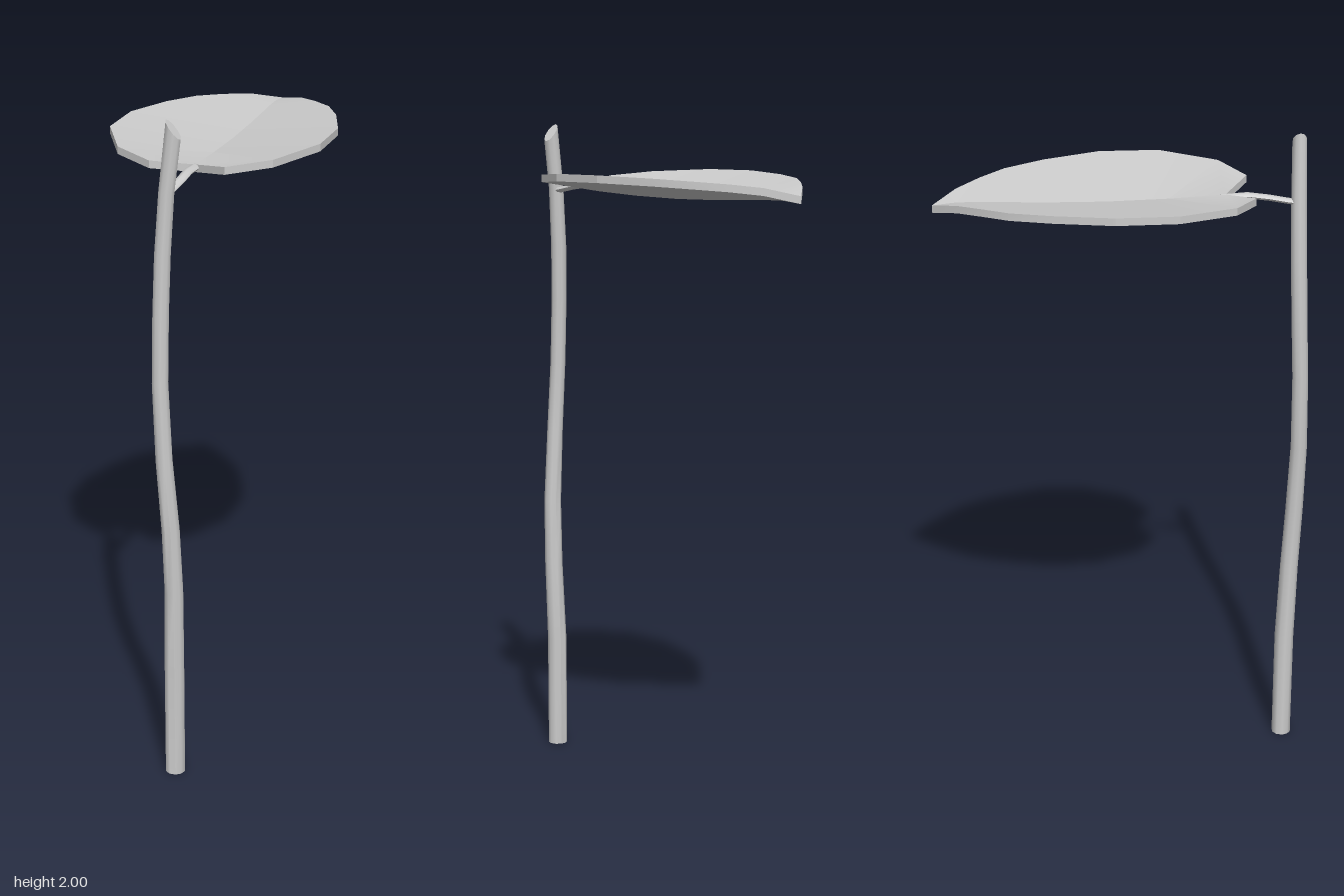
import * as THREE from 'three';
import { toCreasedNormals } from 'three/addons/utils/BufferGeometryUtils.js';

const material = new THREE.MeshStandardMaterial({ color: 0xcccccc });

function buildMesh(name, positions, index, crease) {
  const geo = new THREE.BufferGeometry();
  geo.setAttribute('position', new THREE.Float32BufferAttribute(positions, 3));
  geo.setIndex(index);
  const mesh = new THREE.Mesh(toCreasedNormals(geo, crease), material);
  mesh.name = name;
  return mesh;
}

// Closed tube through rings of points; each ring runs the same way round
function loft(name, rings) {
  const n = rings[0].length, index = [];
  const positions = rings.flat(2);
  for (let r = 0; r < rings.length - 1; r++) {
    for (let i = 0; i < n; i++) {
      const a = r * n + i, b = r * n + (i + 1) % n;
      index.push(a, a + n, b, b, a + n, b + n);
    }
  }
  const last = (rings.length - 1) * n;
  for (let i = 1; i < n - 1; i++) {
    index.push(0, i, i + 1, last, last + i + 1, last + i);
  }
  return buildMesh(name, positions, index, 0.8);
}

const angles = (n) => Array.from({ length: n }, (_, i) => (i / n) * Math.PI * 2);

// Gently wavering stem, tapering to a slanted cut
function createStem() {
  const sections = [ // x, y, z, radius
    [0, 0, 0.51, 0.03], [0, 0.35, 0.51, 0.03], [0.004, 0.6, 0.519, 0.028],
    [-0.001, 0.8, 0.528, 0.027], [-0.017, 1.02, 0.533, 0.025],
    [-0.028, 1.25, 0.528, 0.024], [-0.027, 1.45, 0.519, 0.024],
    [-0.022, 1.62, 0.513, 0.024], [-0.01, 1.8, 0.509, 0.023],
    [0.011, 1.974, 0.508, 0.021],
  ];
  return loft('stem', sections.map(([x, y, z, r], k) => {
    const slant = k === sections.length - 1 ? -1.25 : 0;
    return angles(10).map((a) => {
      const dx = Math.cos(a) * r;
      return [x + dx, y + dx * slant, z + Math.sin(a) * r];
    });
  }));
}

// Thin stalk joining the stem to the notch of the leaf
function createLeafStalk() {
  const sections = [ // x, y, z
    [-0.01, 1.795, 0.51], [-0.007, 1.798, 0.48], [-0.001, 1.808, 0.42],
    [0, 1.816, 0.36], [0, 1.812, 0.28],
  ];
  return loft('leafStalk', sections.map(([x, y, z]) =>
    angles(8).map((a) => [x + Math.cos(a) * 0.015, y + Math.sin(a) * 0.009, z])));
}

// Heart-shaped blade, folded up slightly on either side of its midrib
function createLeaf() {
  const thickness = 0.022;
  const rows = [ // rim x, rim y, rim z, midrib y
    [0, 1.81, -0.553, 1.81], [0.08, 1.833, -0.483, 1.817],
    [0.147, 1.843, -0.413, 1.817], [0.21, 1.85, -0.338, 1.814],
    [0.265, 1.857, -0.22, 1.81], [0.317, 1.863, -0.05, 1.808],
    [0.315, 1.863, 0.13, 1.812], [0.228, 1.854, 0.3, 1.82],
    [0.11, 1.842, 0.37, 1.82], [0, 1.82, 0.295, 1.82],
  ];
  const positions = [], index = [];
  for (const side of [1, -1]) {
    const base = positions.length / 3;
    for (const [x, y, z, midY] of rows) {
      const midZ = Math.min(z, 0.295);
      positions.push(side * x, y, z, 0, midY, midZ,
        side * x, y - thickness, z, 0, midY - thickness, midZ);
    }
    const tri = (a, b, c) => (side > 0 ? index.push(a, b, c) : index.push(a, c, b));
    for (let i = 0; i < rows.length - 1; i++) {
      const a = base + i * 4, b = a + 4;
      // Skip the triangles that collapse at the tip and around the notch
      const mids = i < 7, rims = i > 0;
      if (mids) {
        tri(a + 1, b + 1, b);
        tri(a + 3, b + 2, b + 3);
      }
      if (rims && i < rows.length - 2) {
        tri(a, a + 1, b);
        tri(a + 2, b + 2, a + 3);
      }
      tri(a, b, a + 2);
      tri(b, b + 2, a + 2);
    }
  }
  return buildMesh('leaf', positions, index, 0.3);
}

export function createModel() {
  const group = new THREE.Group();
  group.name = 'leafOnStem';
  group.add(createStem(), createLeafStalk(), createLeaf());
  return group;
}
